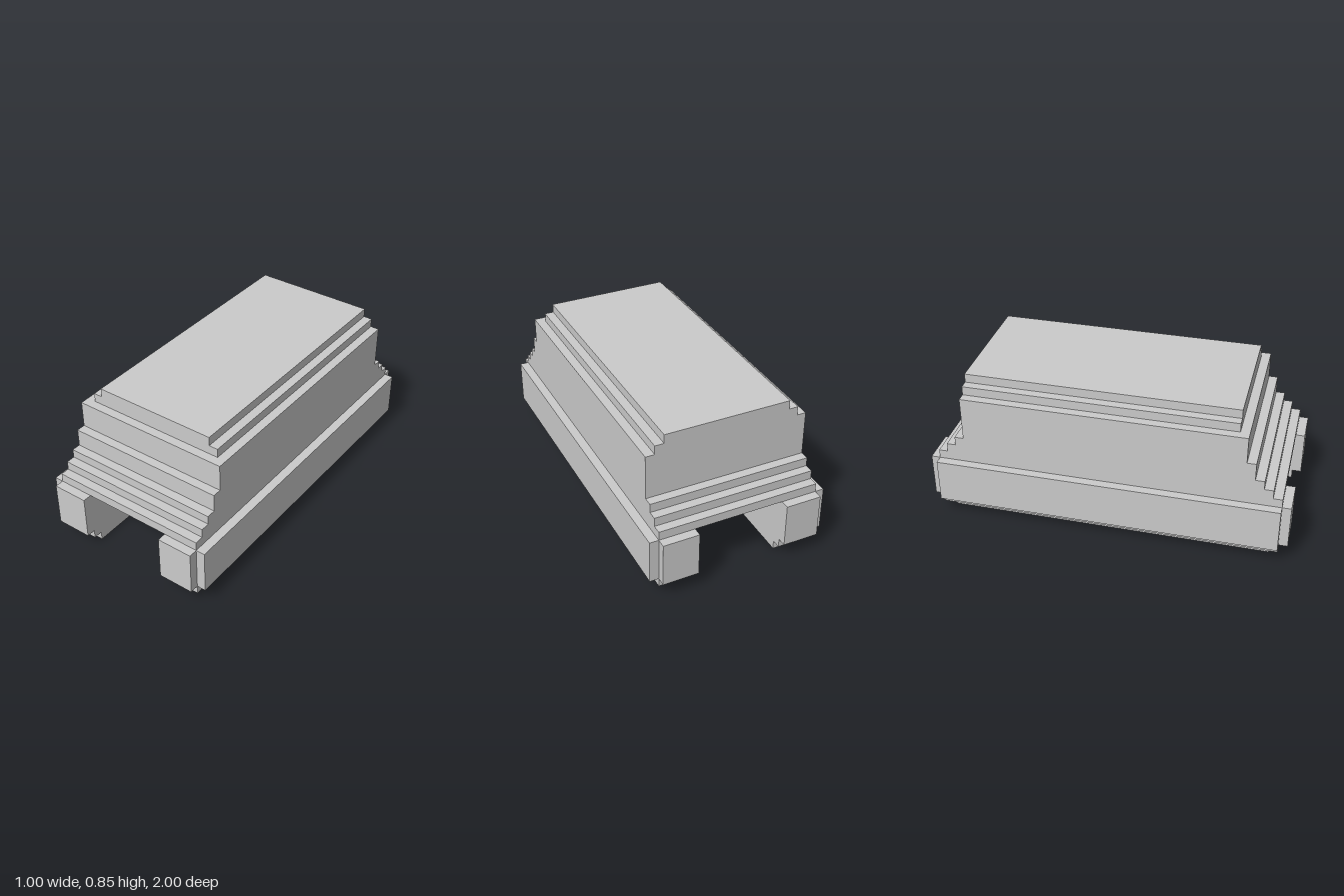
import * as THREE from 'three';

const material = new THREE.MeshStandardMaterial({ color: 0xcccccc, flatShading: true });

// Box given by its lower and upper limits on each axis
function block(name, [x0, x1], [y0, y1], [z0, z1]) {
  const geometry = new THREE.BoxGeometry(x1 - x0, y1 - y0, z1 - z0);
  geometry.translate((x0 + x1) / 2, (y0 + y1) / 2, (z0 + z1) / 2);
  const mesh = new THREE.Mesh(geometry, material);
  mesh.name = name;
  return mesh;
}

// Stepped hull: half width, bottom, top, back z, front z of each layer
function createBody() {
  const body = new THREE.Group();
  body.name = 'body';
  const layers = [
    ['hullBase', 0.45, 0.35, 0.40, -0.95, 0.95],
    ['hullStepLower', 0.45, 0.40, 0.45, -0.90, 0.90],
    ['hullStepUpper', 0.45, 0.45, 0.50, -0.85, 0.85],
    ['cabinLower', 0.45, 0.50, 0.60, -0.80, 0.80],
    ['cabinUpper', 0.45, 0.60, 0.75, -0.80, 0.75],
    ['roofLower', 0.40, 0.75, 0.80, -0.80, 0.70],
    ['roofUpper', 0.35, 0.80, 0.85, -0.80, 0.70],
  ];
  for (const [name, w, y0, y1, z0, z1] of layers) {
    body.add(block(name, [-w, w], [y0, y1], [z0, z1]));
  }
  return body;
}

// One track; side is +1 for the left, -1 for the right
function createTrack(side) {
  const track = new THREE.Group();
  track.name = side > 0 ? 'leftTrack' : 'rightTrack';
  const span = (a, b) => (side > 0 ? [a, b] : [-b, -a]);
  track.add(
    block('trackMain', span(0.25, 0.50), [0.10, 0.35], [-0.95, 0.95]),
    block('trackFrontEnd', span(0.25, 0.45), [0.10, 0.35], [0.95, 1]),
    block('trackBackEnd', span(0.25, 0.45), [0.10, 0.35], [-1, -0.95]),
    block('trackLowerStep', span(0.25, 0.45), [0.05, 0.10], [-0.95, 0.95]),
    block('trackSole', span(0.25, 0.40), [0, 0.05], [-0.90, 0.90]),
    // Thicker inner wall along the middle
    block('trackInnerWall', span(0.15, 0.25), [0, 0.35], [-0.50, 0.50]),
  );
  return track;
}

export function createModel() {
  const model = new THREE.Group();
  model.name = 'steppedTrackedVehicle';
  model.add(createBody(), createTrack(1), createTrack(-1));
  return model;
}
